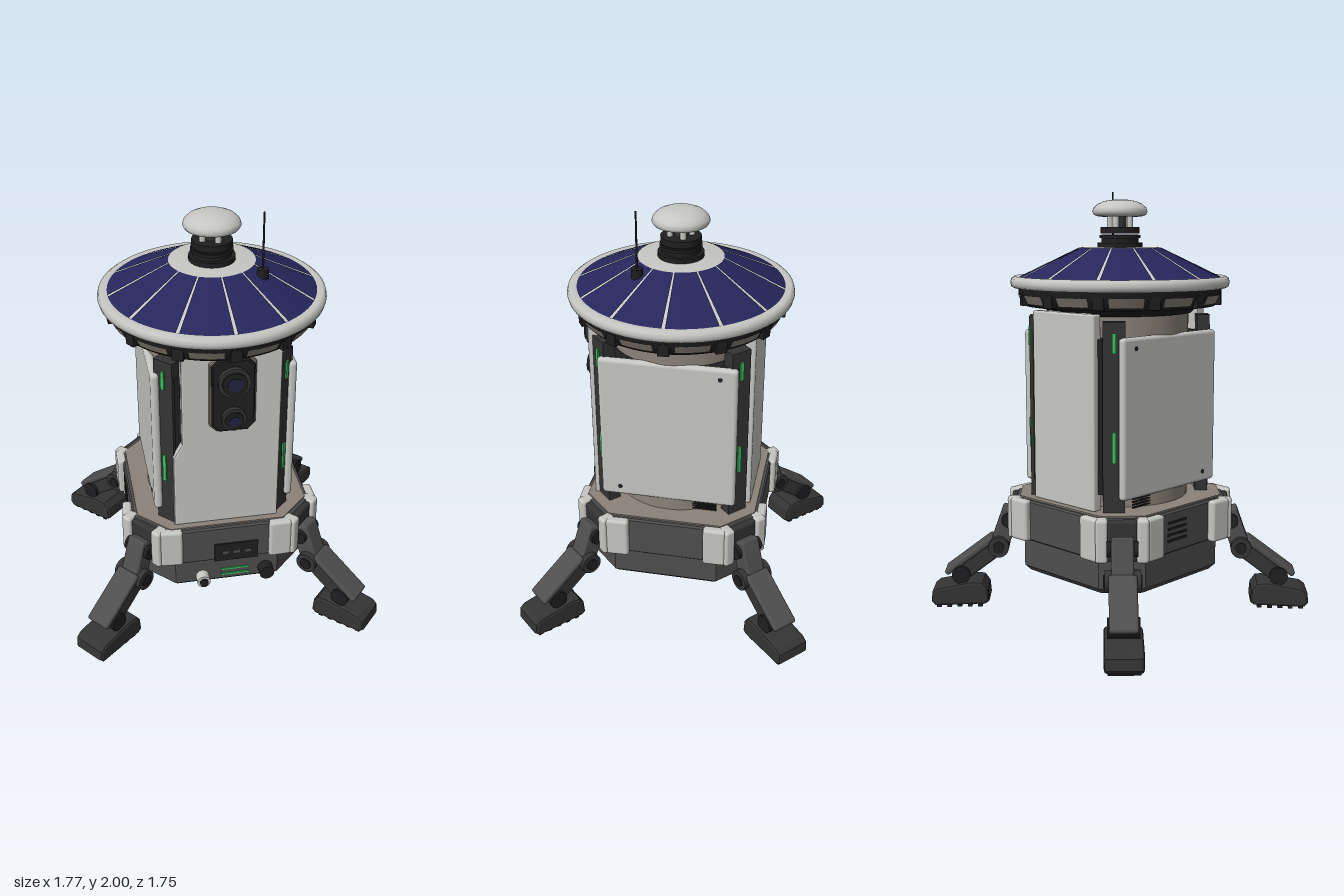
import * as THREE from 'three';
import { RoundedBoxGeometry } from 'three/addons/geometries/RoundedBoxGeometry.js';

const mat = (name, color, side = THREE.FrontSide) => {
  const m = new THREE.MeshStandardMaterial({ color, side });
  m.name = name;
  return m;
};

export function createModel() {
  const light = mat('light grey', 0xc6c6c3);
  const hullGrey = mat('hull grey', 0x4e4e4e);
  const dark = mat('charcoal', 0x343434);
  const black = mat('black', 0x1f1f21);
  const beige = mat('warm grey', 0x8b8379);
  const blue = mat('solar blue', 0x26265c, THREE.DoubleSide);
  const green = mat('signal green', 0x35c45c);
  const lens = mat('lens blue', 0x22223e);

  const model = new THREE.Group();
  const body = new THREE.Group();
  body.name = 'turnedBody';
  body.rotation.y = THREE.MathUtils.degToRad(23.5);
  body.position.set(0.007, 0, 0.016);
  model.add(body);

  const add = (parent, name, geo, material, x = 0, y = 0, z = 0) => {
    const m = new THREE.Mesh(geo, material);
    m.name = name;
    m.position.set(x, y, z);
    parent.add(m);
    return m;
  };
  const box = (parent, name, material, w, h, d, x, y, z) =>
    add(parent, name, new THREE.BoxGeometry(w, h, d), material, x, y, z);
  const round = (parent, name, material, w, h, d, x, y, z, r = 0.015) =>
    add(parent, name, new RoundedBoxGeometry(w, h, d, 2, r), material, x, y, z);
  const cyl = (parent, name, material, rt, rb, h, x, y, z, n = 32) =>
    add(parent, name, new THREE.CylinderGeometry(rt, rb, h, n), material, x, y, z);
  // disc or barrel whose axis points forward
  const barrel = (parent, name, material, r, len, x, y, z) => {
    const m = cyl(parent, name, material, r, r, len, x, y, z, 28);
    m.rotation.x = Math.PI / 2;
    return m;
  };
  const poly = (pts) => new THREE.Shape(pts.map((p) => new THREE.Vector2(p[0], p[1])));
  const slab = (pts, depth, bevel, segments = 1) => {
    const g = new THREE.ExtrudeGeometry(poly(pts), {
      depth: depth - 2 * bevel, bevelEnabled: bevel > 0, bevelSize: bevel,
      bevelThickness: bevel, bevelOffset: -bevel, bevelSegments: segments,
    });
    return g.translate(0, 0, bevel);
  };
  // eight-sided prism standing on y0, long faces at hx and hz, corners cut at cx and cz
  const octagon = (hx, hz, cx, cz, y0, y1, bevel) =>
    slab([[hx, -cz], [hx, cz], [cx, hz], [-cx, hz], [-hx, cz], [-hx, -cz], [-cx, -hz], [cx, -hz]], y1 - y0, bevel)
      .rotateX(-Math.PI / 2).translate(0, y0, 0);
  const spin = (pts, n = 64) => new THREE.LatheGeometry(pts.map((p) => new THREE.Vector2(p[0], p[1])), n);

  // hull
  add(body, 'lowerHull', octagon(0.4, 0.4, 0.25, 0.25, 0.19, 0.4, 0.03), hullGrey);
  add(body, 'upperHull', octagon(0.43, 0.43, 0.28, 0.28, 0.36, 0.556, 0.008), hullGrey);
  add(body, 'deck', octagon(0.41, 0.41, 0.27, 0.27, 0.55, 0.563, 0), beige);
  // hull front: socket panel, light strips and two knobs
  box(body, 'socketPanel', black, 0.21, 0.1, 0.012, 0.04, 0.41, 0.431);
  for (const i of [-1, 0, 1]) box(body, 'socket', hullGrey, 0.03, 0.016, 0.008, 0.04 + i * 0.055, 0.41, 0.436);
  for (const y of [0.245, 0.277]) box(body, 'lightStrip', green, 0.135, 0.009, 0.008, 0.04, y, 0.401);
  barrel(body, 'knob', light, 0.032, 0.06, -0.12, 0.25, 0.42);
  barrel(body, 'knobTip', black, 0.02, 0.02, -0.12, 0.25, 0.45);
  barrel(body, 'darkKnob', black, 0.036, 0.06, 0.19, 0.26, 0.42);
  for (let i = 0; i < 4; i++) box(body, 'hullVent', black, 0.008, 0.012, 0.13, -0.43, 0.42 + i * 0.028, -0.07);

  // tower core
  cyl(body, 'coreDrum', beige, 0.325, 0.325, 0.92, 0, 1.01, 0, 48);
  add(body, 'innerFrame', octagon(0.295, 0.35, 0.23, 0.275, 0.64, 1.34, 0), black);
  for (const sx of [-1, 1]) {
    for (const sz of [-1, 1]) {
      const corner = new THREE.Group();
      corner.name = 'cornerColumn';
      corner.position.set(sx * 0.255, 0, sz * 0.305);
      corner.rotation.y = Math.atan2(sx, sz);
      body.add(corner);
      box(corner, 'column', dark, 0.1, 0.86, 0.06, 0, 0.99, 0);
      box(corner, 'upperSignal', green, 0.018, 0.09, 0.008, 0, 1.325, 0.033);
      box(corner, 'lowerSignal', green, 0.018, 0.14, 0.008, 0, 0.86, 0.033);
    }
    // side panels with their fixing holes
    const side = new THREE.Group();
    side.name = sx > 0 ? 'leftPanel' : 'rightPanel';
    side.rotation.y = sx * Math.PI / 2;
    body.add(side);
    round(side, 'panel', light, 0.64, 0.73, 0.04, 0, 0.985, 0.31, 0.018);
    for (const [z, y] of [[-0.24, 1.3], [0.23, 0.67]]) {
      barrel(side, 'fixingHole', black, 0.01, 0.006, -sx * z, y, 0.33);
    }
    for (let i = 0; i < 4; i++) box(side, 'vent', black, 0.2, 0.007, 0.008, sx * 0.13, 0.573 + i * 0.013, 0.3);
  }

  // front panel with a stepped edge, and plain back panel
  add(body, 'frontPanel', slab([[-0.245, 0.56], [0.245, 0.56], [0.245, 1.45], [0.225, 1.465],
    [-0.205, 1.465], [-0.205, 1.01], [-0.245, 0.94]], 0.05, 0.008, 2), light, 0, 0, 0.33);
  round(body, 'backPanel', light, 0.4, 0.89, 0.05, 0, 1.005, -0.353, 0.01);

  // camera unit
  const plate = (w, h, c) => [[-w + c, -h], [w - c, -h], [w, -h + c], [w, h - c], [w - c, h], [-w + c, h], [-w, h - c], [-w, -h + c]];
  add(body, 'cameraRim', slab(plate(0.105, 0.19, 0.035), 0.02, 0.004), beige, 0.022, 1.265, 0.374);
  add(body, 'cameraPlate', slab(plate(0.096, 0.181, 0.032), 0.04, 0.006), black, 0.022, 1.265, 0.374);
  for (const [y, r] of [[1.34, 0.072], [1.155, 0.055]]) {
    barrel(body, 'lensBarrel', dark, r, 0.03, 0.022, y, 0.42);
    barrel(body, 'lensRing', black, r * 0.78, 0.03, 0.022, y, 0.432);
    barrel(body, 'lensGlass', lens, r * 0.45, 0.008, 0.022, y, 0.447);
  }

  // solar roof
  const roof = new THREE.Group();
  roof.name = 'solarRoof';
  body.add(roof);
  add(roof, 'roofUnderside', spin([[0.001, 1.435], [0.34, 1.435], [0.36, 1.455], [0.45, 1.468], [0.478, 1.52], [0.48, 1.56]]), black);
  add(roof, 'roofCone', spin([[0.49, 1.585], [0.19, 1.729]]), light);
  const rim = spin([[0.47, 1.55], [0.5, 1.55], [0.512, 1.556], [0.517, 1.575], [0.512, 1.594], [0.498, 1.604], [0.47, 1.6]]);
  add(roof, 'roofRim', rim, light);
  const step = Math.PI / 6;
  const start = THREE.MathUtils.degToRad(2.2);
  for (let i = 0; i < 12; i++) {
    const a = start + i * step;
    const cell = new THREE.CylinderGeometry(0.192, 0.492, 0.144, 10, 1, true, a + 0.016, step - 0.032);
    add(roof, 'solarCell', cell, blue, 0, 1.663, 0);
    const tab = new THREE.CylinderGeometry(0.484, 0.462, 0.042, 6, 1, true, a + 0.1, step - 0.2);
    add(roof, 'rimTab', tab, beige, 0, 1.502, 0);
    const lug = box(roof, 'rimLug', black, 0.05, 0.055, 0.03, Math.sin(a) * 0.465, 1.5, Math.cos(a) * 0.465);
    lug.rotation.y = a;
  }
  add(roof, 'collar', spin([[0.2, 1.715], [0.195, 1.735], [0.001, 1.735]]), light);

  // beacon on top
  for (const [r, y, h] of [[0.105, 1.742, 0.03], [0.088, 1.77, 0.05], [0.096, 1.785, 0.014], [0.092, 1.815, 0.03]]) {
    cyl(roof, 'beaconNeck', black, r, r, h, 0, y, 0);
  }
  cyl(roof, 'beaconCore', dark, 0.03, 0.03, 0.07, 0, 1.855, 0);
  for (let i = 0; i < 4; i++) {
    const a = i * Math.PI / 2 + 0.4;
    cyl(roof, 'beaconPost', light, 0.014, 0.014, 0.07, Math.sin(a) * 0.05, 1.855, Math.cos(a) * 0.05, 12);
  }
  add(roof, 'beaconDome', spin([[0.001, 1.878], [0.1, 1.878], [0.122, 1.886], [0.13, 1.9], [0.124, 1.918],
    [0.105, 1.936], [0.075, 1.949], [0.04, 1.955], [0.001, 1.957]], 40), light);

  // antenna
  cyl(model, 'antennaBase', black, 0.026, 0.026, 0.07, 0.25, 1.705, 0.08, 16);
  cyl(model, 'antenna', black, 0.004, 0.005, 0.27, 0.25, 1.865, 0.08, 8);

  // legs: z points outward
  const beam = (parent, name, material, w, t, y0, z0, y1, z1) => {
    const m = round(parent, name, material, w, t, Math.hypot(y1 - y0, z1 - z0), 0, (y0 + y1) / 2, (z0 + z1) / 2, 0.012);
    m.rotation.x = -Math.atan2(y1 - y0, z1 - z0);
    return m;
  };
  const axle = (parent, name, material, r, len, y, z) => {
    const m = cyl(parent, name, material, r, r, len, 0, y, z, 24);
    m.rotation.z = Math.PI / 2;
  };
  const footGeo = slab([[0.64, 0.03], [0.66, 0.015], [0.9, 0.01], [0.92, 0.03], [0.915, 0.08], [0.89, 0.1],
    [0.72, 0.13], [0.67, 0.125], [0.645, 0.09]], 0.17, 0.014, 2).rotateY(-Math.PI / 2).translate(0.085, 0, 0);
  for (const angle of [43, 139.5, 225, 314]) {
    const leg = new THREE.Group();
    leg.name = 'leg';
    leg.rotation.y = Math.PI / 2 - THREE.MathUtils.degToRad(angle);
    body.add(leg);
    for (const s of [-1, 1]) {
      round(leg, 'mountCheek', light, 0.055, 0.2, 0.07, s * 0.092, 0.46, 0.505);
      const wing = round(leg, 'mountWing', light, 0.11, 0.2, 0.045, s * 0.14, 0.46, 0.475);
      wing.rotation.y = s * Math.PI / 4;
    }
    round(leg, 'mountPlate', dark, 0.14, 0.19, 0.05, 0, 0.457, 0.5);
    axle(leg, 'hipJoint', black, 0.035, 0.14, 0.43, 0.54);
    beam(leg, 'thigh', hullGrey, 0.1, 0.09, 0.48, 0.525, 0.27, 0.6);
    axle(leg, 'kneeJoint', dark, 0.05, 0.16, 0.3, 0.59);
    axle(leg, 'kneeCap', black, 0.028, 0.172, 0.3, 0.59);
    beam(leg, 'shin', dark, 0.11, 0.09, 0.315, 0.575, 0.155, 0.79);
    beam(leg, 'shinGuard', hullGrey, 0.125, 0.03, 0.335, 0.62, 0.165, 0.85);
    axle(leg, 'ankleJoint', black, 0.044, 0.14, 0.16, 0.775);
    add(leg, 'foot', footGeo, dark);
    for (let i = 0; i < 5; i++) box(leg, 'tread', black, 0.14, 0.025, 0.022, 0, 0.0125, 0.685 + i * 0.05);
  }
  return model;
}
